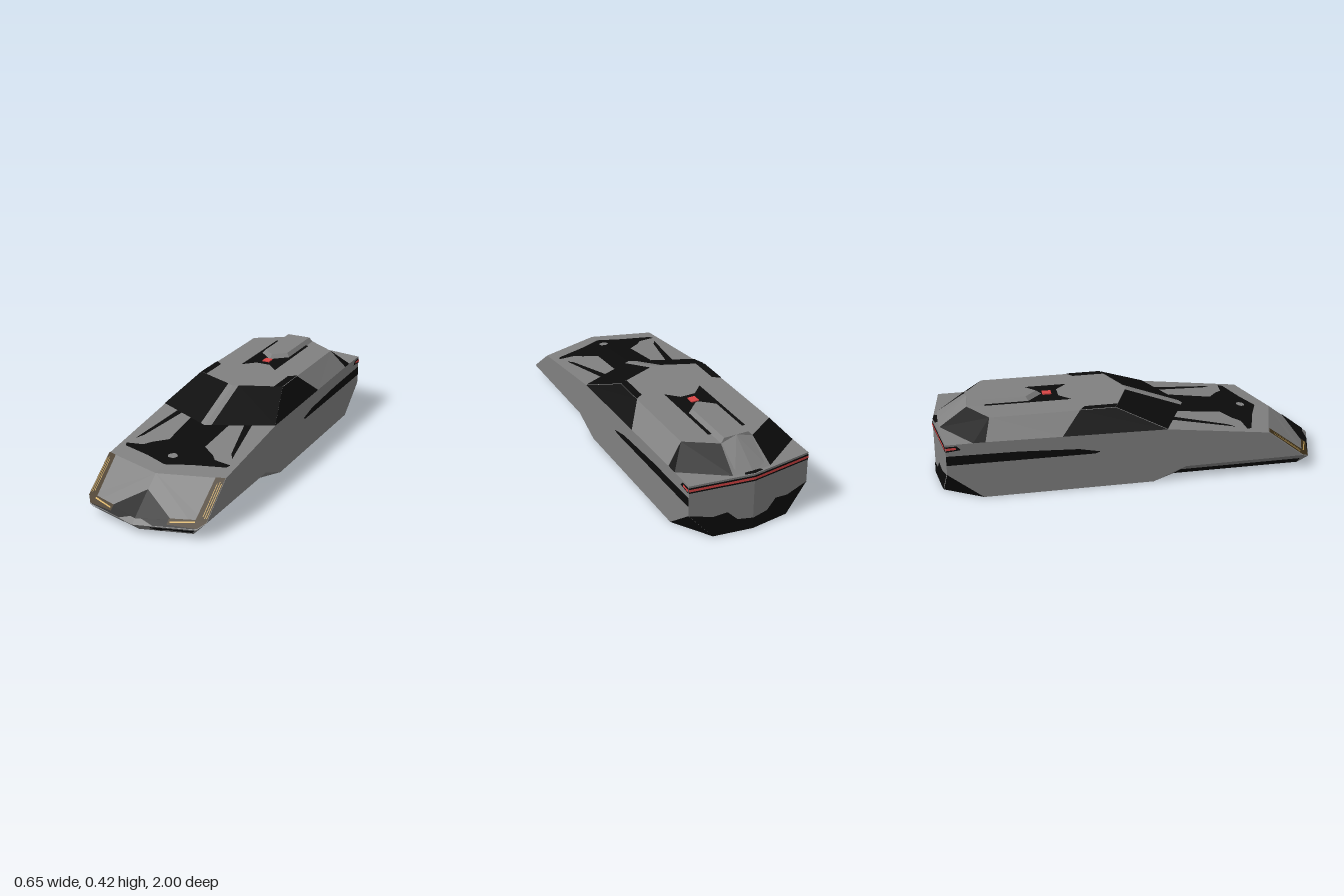
import * as THREE from 'three';

const mat = (name, color) => Object.assign(new THREE.MeshStandardMaterial({ color }), { name });

export function createModel() {
  const root = new THREE.Group();
  root.name = 'wedgeCar';
  const grey = mat('bodyGrey', 0x808080);
  const black = mat('glossBlack', 0x0b0b0b);
  const brown = mat('lampBronze', 0x42341c);
  const gold = mat('lampGold', 0xd6b060);
  const red = mat('tailRed', 0xd84444);
  const V = (x, y, z) => new THREE.Vector3(x, y, z);

  // Adds triangles on both halves, each turned away from the centre point
  function addMirrored(name, material, pts, tris, centre) {
    const pos = [];
    for (const s of [1, -1]) {
      for (const t of tris) {
        let [a, b, c] = t.map((i) => V(pts[i].x * s, pts[i].y, pts[i].z));
        const n = b.clone().sub(a).cross(c.clone().sub(a));
        const mid = a.clone().add(b).add(c).divideScalar(3).sub(centre);
        if (n.dot(mid) < 0) [b, c] = [c, b];
        for (const p of [a, b, c]) pos.push(p.x, p.y, p.z);
      }
    }
    const g = new THREE.BufferGeometry();
    g.setAttribute('position', new THREE.Float32BufferAttribute(pos, 3));
    g.computeVertexNormals();
    const m = new THREE.Mesh(g, material);
    m.name = name;
    root.add(m);
  }

  const heart = V(0, 0.15, 0);
  // Convex face given by its corners
  function face(name, material, pts, centre = heart) {
    const tris = [];
    for (let i = 1; i < pts.length - 1; i++) tris.push([0, i, i + 1]);
    addMirrored(name, material, pts, tris, centre);
  }

  // Flat outline drawn in two axes (such as 'xz') and laid on a plane of three points
  function panel(name, material, plane, axes, outline, lift = 0.003) {
    const p = new THREE.Plane().setFromCoplanarPoints(...plane);
    if (p.distanceToPoint(heart) > 0) p.negate();
    const [u, v] = axes;
    const w = [...'xyz'].find((k) => !axes.includes(k));
    const pts = outline.map(([a, b]) => {
      const q = V(0, 0, 0);
      q[u] = a;
      q[v] = b;
      q[w] = -(p.normal.dot(q) + p.constant) / p.normal[w];
      return q.addScaledVector(p.normal, lift);
    });
    // keep centre-line points on the centre line
    pts.forEach((q, i) => { if (u === 'x' && outline[i][0] === 0) q.x = 0; });
    const flat = outline.map(([a, b]) => new THREE.Vector2(a, b));
    addMirrored(name, material, pts, THREE.ShapeUtils.triangulateShape(flat, []), heart);
  }

  // Corners of the left half
  const hoodTip = V(0, 0.22, 0.78), hoodCorner = V(0.32, 0.22, 0.68);
  const cowlMid = V(0, 0.28, 0.3), cowlSide = V(0.32, 0.286, 0.15);
  const roofTip = V(0, 0.393, 0), roofFront = V(0.24, 0.393, -0.1);
  const glassTop = V(0.24, 0.393, -0.28), glassLow = V(0.32, 0.294, -0.38);
  const roofRear = V(0.24, 0.393, -0.73), roofInner = V(0.085, 0.393, -0.83), roofEnd = V(0, 0.393, -0.83);
  const hip = V(0.32, 0.3, -0.76), deckSide = V(0.32, 0.3, -0.82);
  const deckInner = V(0.1, 0.3, -0.97), deckMid = V(0, 0.3, -0.98);
  const tailCorner = V(0.32, 0.3, -0.955), tailMid = V(0, 0.3, -1);
  const tailCut = V(0.32, 0.14, -0.955), floorTail = V(0.2, 0, -0.972), floorEnd = V(0, 0, -1);
  const noseMid = V(0, 0.05, 1), noseSide = V(0.29, 0.05, 0.912), noseCorner = V(0.32, 0.073, 0.87);
  const chinMid = V(0, 0, 0.94), chinSide = V(0.25, 0, 0.866);
  const sillTop = V(0.32, 0.07, 0.25), sillIn = V(0.25, 0, 0.2), sillEnd = V(0.32, 0, 0.08);
  const rearSill = V(0.32, 0, -0.78);

  // Bodywork
  face('hood', grey, [hoodTip, hoodCorner, cowlSide, cowlMid]);
  face('windscreenFrame', grey, [cowlMid, cowlSide, roofFront, roofTip]);
  face('roof', grey, [roofTip, roofFront, roofRear, roofInner, roofEnd]);
  face('sideWindow', black, [cowlSide, roofFront, glassTop, glassLow]);
  face('roofSide', grey, [glassLow, glassTop, roofRear, hip]);
  face('rearWindow', black, [roofRear, roofInner, deckInner, deckSide, hip]);
  face('rearSpine', grey, [roofEnd, roofInner, deckInner, deckMid]);
  face('rearDeck', grey, [tailCorner, tailMid, deckMid, deckInner, deckSide]);
  face('noseFace', grey, [hoodTip, noseMid, noseSide, noseCorner, hoodCorner]);
  face('chin', grey, [noseMid, chinMid, chinSide, noseSide]);
  face('chinCorner', grey, [noseSide, chinSide, noseCorner]);
  face('tailFace', grey, [tailMid, floorEnd, floorTail, tailCut, tailCorner]);
  face('tailCornerCut', black, [rearSill, tailCut, floorTail]);
  face('sillReturn', grey, [sillTop, sillIn, sillEnd]);

  // Undercut front sill: grey upper half, black lower half
  const midFront = noseCorner.clone().lerp(chinSide, 0.45);
  const midRear = sillTop.clone().lerp(sillIn, 0.45);
  face('sillUpper', grey, [noseCorner, midFront, midRear, sillTop]);
  face('sillLower', black, [midFront, chinSide, sillIn, midRear]);

  const sideLoop = [hoodCorner, noseCorner, sillTop, sillEnd, rearSill, tailCut, tailCorner, hip, glassLow, cowlSide];
  const side = [hoodCorner, sillEnd, tailCorner];
  panel('sideWall', grey, side, 'zy', sideLoop.map((p) => [p.z, p.y]), 0);
  const floor = [chinMid, chinSide, floorEnd];
  panel('floor', grey, floor, 'xz',
    [chinMid, chinSide, sillIn, sillEnd, rearSill, floorTail, floorEnd].map((p) => [p.x, p.z]), 0);
  panel('floorBand', black, floor, 'xz', [[0, 0.65], [0.25, 0.65], [0.25, 0.2], [0.32, 0.08], [0.32, -0.12], [0, 0.13]], 0.001);

  // Painted hood, windscreen and roof
  const hood = [hoodTip, hoodCorner, cowlMid];
  panel('hoodPaint', black, hood, 'xz',
    [[0, 0.3], [0.11, 0.249], [0.1, 0.48], [0.17, 0.53], [0.2, 0.565], [0.29, 0.575], [0.28, 0.6], [0.12, 0.65], [0, 0.7]]);
  panel('hoodStripe', black, hood, 'xz', [[0.18, 0.216], [0.215, 0.2], [0.27, 0.52], [0.245, 0.48]]);
  panel('hoodBadge', grey, hood, 'xz', [[0, 0.595], [0.02, 0.605], [0.025, 0.62], [0.015, 0.638], [0, 0.64]], 0.006);
  panel('windscreen', black, [cowlMid, cowlSide, roofTip], 'xz',
    [[0.03, -0.0125], [0.24, -0.1], [0.32, 0.15], [0.03, 0.286]]);
  const roof = [roofTip, roofFront, roofRear];
  panel('roofCorner', black, roof, 'xz', [[0.2, -0.083], [0.24, -0.1], [0.24, -0.28], [0.2, -0.25]]);
  panel('scoopSurround', black, roof, 'xz',
    [[0, -0.36], [0.04, -0.36], [0.1, -0.3], [0.1, -0.74], [0.07, -0.74], [0, -0.46]]);
  panel('deckMark', black, [tailCorner, tailMid, deckInner], 'xz', [[0, -0.999], [0.05, -0.99], [0.04, -0.975], [0, -0.975]]);

  // Nose paint and lamps
  const nose = [hoodTip, hoodCorner, noseMid];
  panel('nosePaint', black, nose, 'xy',
    [[0, 0.165], [0.08, 0.12], [0.16, 0.075], [0.28, 0.06], [0.28, 0.051], [0.09, 0.051], [0.03, 0.07], [0, 0.07]]);
  panel('lampSurround', brown, nose, 'xy',
    [[0.275, 0.22], [0.32, 0.22], [0.32, 0.073], [0.29, 0.052], [0.15, 0.058], [0.15, 0.078], [0.268, 0.08]], 0.005);
  for (const [x, y0, y1] of [[0.293, 0.09, 0.2], [0.303, 0.085, 0.205], [0.312, 0.085, 0.2]])
    panel('lampStrip', gold, nose, 'xy', [[x, y0], [x + 0.003, y0], [x + 0.003, y1], [x, y1]], 0.007);
  panel('lampFoot', gold, nose, 'xy', [[0.16, 0.064], [0.27, 0.07], [0.27, 0.075], [0.16, 0.068]], 0.007);
  panel('chinIntake', black, [noseMid, chinMid, chinSide], 'xy',
    [[0.08, 0.048], [0.28, 0.048], [0.255, 0.02], [0.14, 0.03], [0.1, 0.01], [0.07, 0.035]]);

  // Side intake groove
  panel('sideGroove', black, side, 'zy',
    [[-0.19, 0.197], [-0.3, 0.22], [-0.6, 0.235], [-0.955, 0.24], [-0.955, 0.19], [-0.22, 0.188]], 0.002);

  // Tail light band wrapping round the corners, and diffuser
  const tail = [tailMid, floorEnd, tailCorner];
  const band = (lo, hi, end) => [[0, lo], [end, lo], [end, hi], [0, hi]];
  panel('tailBand', black, tail, 'xy', band(0.262, 0.291, 0.32), 0.002);
  panel('tailLight', red, tail, 'xy', band(0.271, 0.284, 0.32), 0.004);
  panel('sideTailBand', black, side, 'zy', [[-0.88, 0.27], [-0.955, 0.262], [-0.955, 0.291], [-0.9, 0.291]], 0.002);
  panel('sideTailLight', red, side, 'zy', [[-0.905, 0.274], [-0.955, 0.271], [-0.955, 0.284], [-0.905, 0.286]], 0.004);
  panel('diffuser', black, tail, 'xy',
    [[0, 0.001], [0.2, 0.001], [0.318, 0.14], [0.2, 0.11], [0.13, 0.12], [0.08, 0.07], [0, 0.06]]);

  // Roof scoop
  const core = V(0, 0.38, -0.7);
  const topTip = V(0, 0.415, -0.47), topSide = V(0.065, 0.415, -0.53);
  const topRear = V(0.065, 0.415, -0.825), topEnd = V(0, 0.415, -0.825);
  const baseTip = V(0, 0.392, -0.435), baseSide = V(0.085, 0.392, -0.515), baseRear = V(0.085, 0.392, -0.83);
  const footSide = V(0.085, 0.302, -0.965), footMid = V(0, 0.302, -0.978);
  face('scoopTop', grey, [topTip, topSide, topRear, topEnd], core);
  face('scoopFront', grey, [topTip, baseTip, baseSide, topSide], core);
  face('scoopSide', grey, [topSide, baseSide, baseRear, topRear], core);
  face('scoopTail', grey, [topEnd, topRear, baseRear, footSide, footMid], core);

  const beacon = new THREE.Mesh(new THREE.BoxGeometry(0.04, 0.012, 0.045), red);
  beacon.name = 'roofLight';
  beacon.position.set(0, 0.396, -0.415);
  root.add(beacon);

  return root;
}
